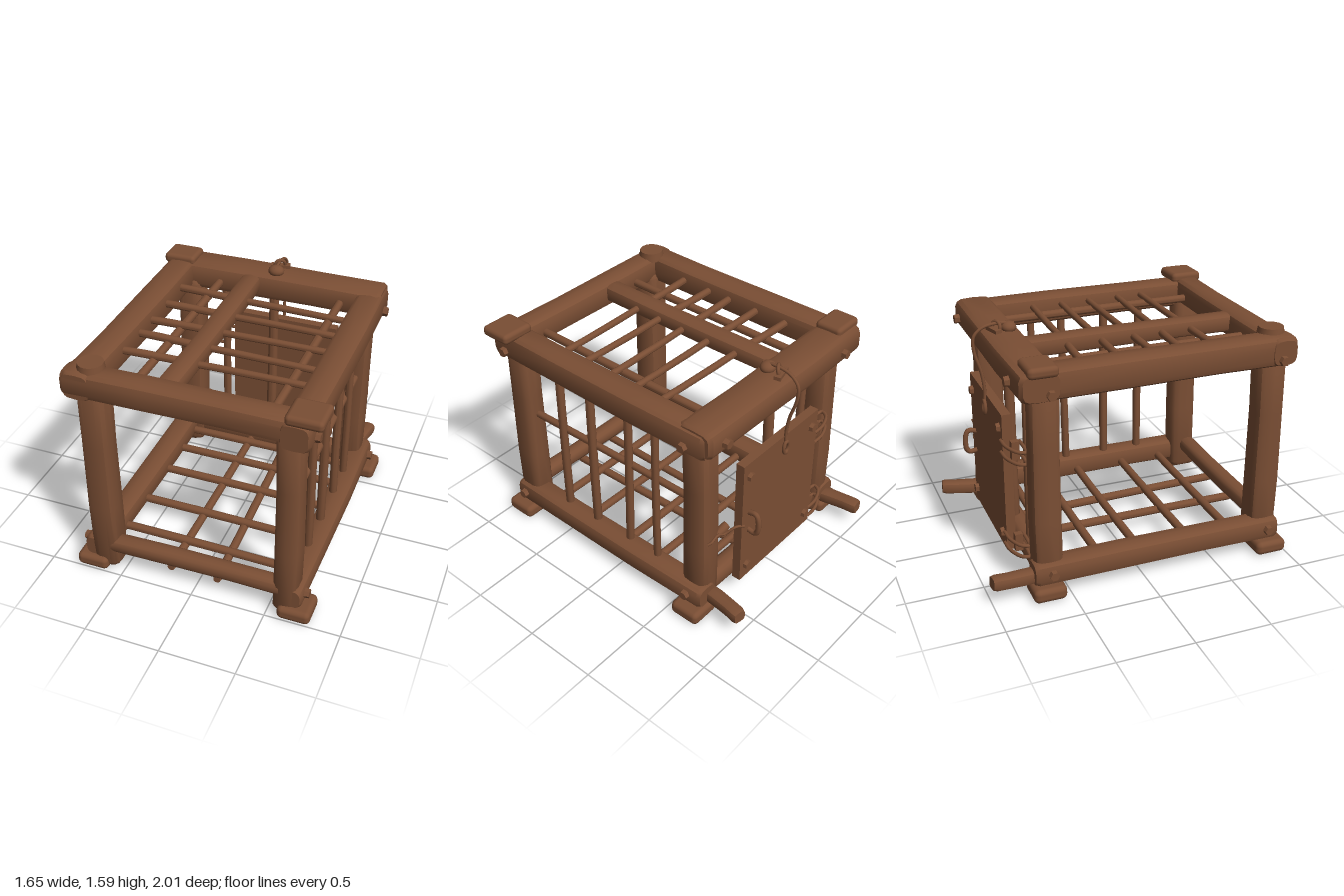
import * as THREE from 'three';
import { toCreasedNormals } from 'three/addons/utils/BufferGeometryUtils.js';
import { RoundedBoxGeometry } from 'three/addons/geometries/RoundedBoxGeometry.js';

export function createModel() {
  const root = new THREE.Group();
  root.name = 'cage';
  const wood = new THREE.MeshStandardMaterial({ color: 0x7a4e34 });
  wood.name = 'brownWood';
  const V = (p) => new THREE.Vector3(...p);

  function add(name, geo, pos = [0, 0, 0], rot = [0, 0, 0]) {
    const m = new THREE.Mesh(geo, wood);
    m.name = name;
    m.position.set(...pos);
    m.rotation.set(...rot);
    root.add(m);
    return m;
  }

  // Squarish log from a to b, with chamfered ends and a slight bow
  function log(name, a, b, w, h, square = 0.6, bow = 0.008) {
    const A = V(a), B = V(b), len = A.distanceTo(B), e = 0.025;
    const prof = [[0, 0], [0.86, 0], [1, e], [1.02, len * 0.35], [0.98, len * 0.7], [1, len - e], [0.86, len], [0, len]];
    const geo = new THREE.LatheGeometry(prof.map(([r, y]) => new THREE.Vector2(r, y - len / 2)), 14);
    const p = geo.attributes.position;
    for (let i = 0; i < p.count; i++) {
      const x = p.getX(i), z = p.getZ(i), r = Math.hypot(x, z);
      const k = (v) => (r ? Math.sign(v) * Math.pow(Math.abs(v / r), square) * r : 0);
      const bend = bow * Math.cos((p.getY(i) / len) * Math.PI);
      p.setX(i, k(x) * w / 2 + bend);
      p.setZ(i, k(z) * h / 2);
    }
    geo.rotateX(Math.PI / 2);
    const m = add(name, toCreasedNormals(geo, 0.6), A.clone().add(B).multiplyScalar(0.5).toArray());
    m.lookAt(B);
    return m;
  }

  // Thin round bar
  function bar(name, a, b, r = 0.026) {
    return log(name, a, b, r * 2, r * 2, 1, 0.004);
  }

  // Bent wire or rope through points
  function wire(name, pts, r = 0.012) {
    return add(name, new THREE.TubeGeometry(new THREE.CatmullRomCurve3(pts.map(V)), 32, r, 8));
  }

  // Hexagonal bolt head; axis 'x' or 'z'
  function bolt(pos, axis, r = 0.035, depth = 0.05) {
    const geo = toCreasedNormals(new THREE.CylinderGeometry(r * 0.85, r, depth, 6), 0.5);
    const s = Math.sign(pos[axis === 'x' ? 0 : 2]);
    add('bolt', geo, pos, axis === 'x' ? [0, 0, -s * Math.PI / 2] : [s * Math.PI / 2, 0, 0]);
  }

  // Corner posts
  log('frontPost', [-0.625, 0.03, 0.875], [-0.63, 1.4, 0.875], 0.19, 0.19);
  log('frontPost', [0.61, 0.04, 0.875], [0.61, 1.4, 0.875], 0.165, 0.19);
  log('backPost', [-0.64, 0.03, -0.62], [-0.63, 1.4, -0.62], 0.19, 0.18);
  log('backPost', [0.585, 0.04, -0.62], [0.6, 1.4, -0.62], 0.19, 0.18);

  // Upper frame
  log('topSideBeam', [-0.7, 1.43, -0.76], [-0.7, 1.43, 0.98], 0.2, 0.195, 0.5);
  log('topSideBeam', [0.655, 1.415, -0.76], [0.655, 1.415, 0.99], 0.19, 0.19, 0.5);
  log('topFrontBeam', [-0.8, 1.43, 0.895], [0.66, 1.435, 0.895], 0.185, 0.185);
  log('topBackBeam', [-0.8, 1.43, -0.675], [0.73, 1.43, -0.675], 0.26, 0.19, 0.5);
  log('topMiddleBeam', [-0.175, 1.45, -0.65], [-0.175, 1.45, 0.83], 0.14, 0.12);

  // Lower frame
  log('bottomSideBeam', [-0.685, 0.16, -0.73], [-0.685, 0.16, 0.96], 0.17, 0.16);
  log('bottomSideBeam', [0.645, 0.16, -0.73], [0.645, 0.16, 0.96], 0.17, 0.16);
  log('bottomFrontBeam', [-0.6, 0.2, 0.91], [0.6, 0.21, 0.91], 0.12, 0.115, 0.8);
  log('bottomBackBeam', [-0.65, 0.15, -0.63], [0.62, 0.15, -0.63], 0.14, 0.15, 0.8);

  // Feet and cap blocks
  for (const [x, z] of [[-0.71, 0.895], [0.685, 0.895], [-0.71, -0.65], [0.685, -0.65]])
    add('foot', new RoundedBoxGeometry(0.22, 0.095, 0.215, 2, 0.035), [x, 0.05, z]);
  add('capBlock', new RoundedBoxGeometry(0.23, 0.07, 0.22, 2, 0.028), [0.705, 1.527, 0.885]);
  add('capBlock', new RoundedBoxGeometry(0.225, 0.07, 0.19, 2, 0.028), [-0.71, 1.527, -0.665]);
  add('capDisc', toCreasedNormals(new THREE.CylinderGeometry(0.08, 0.09, 0.06, 18), 0.6), [-0.64, 1.53, 0.87]);

  // Pegs jutting out behind the bottom corners
  log('rearPeg', [0.59, 0.13, -0.66], [0.645, 0.15, -0.995], 0.1, 0.09);
  log('rearPeg', [-0.66, 0.13, -0.66], [-0.695, 0.15, -0.995], 0.1, 0.09);

  // Bolts on both sides and the back
  for (const s of [-1, 1]) {
    for (const z of [0.88, -0.62]) {
      bolt([s > 0 ? 0.755 : -0.805, 1.385, z], 'x');
      bolt([s > 0 ? 0.735 : -0.775, 0.17, z], 'x');
    }
  }
  bolt([-0.59, 1.42, -0.815], 'z');
  bolt([0.6, 1.42, -0.815], 'z');

  // Roof grid
  const roof = [[-0.34, -0.29], [-0.1, -0.085], [0.13, 0.115], [0.305, 0.335], [0.53, 0.51]];
  for (const [z0, z1] of roof) {
    bar('roofBar', [-0.62, 1.45, z0], [-0.17, 1.45, (z0 + z1) / 2], 0.025);
    bar('roofBar', [-0.17, 1.45, (z0 + z1) / 2], [0.62, 1.45, z1], 0.022);
  }
  for (const x of [-0.4, 0.46]) bar('roofLongBar', [x, 1.42, -0.62], [x, 1.42, 0.84], 0.027);

  // Floor grid
  for (const z of [-0.5, -0.26, 0.01, 0.365, 0.67])
    bar('floorBar', [-0.66, 0.14, z], [0.63, 0.14, z + 0.01], 0.028);
  bar('floorLongBar', [-0.17, 0.115, -0.65], [-0.17, 0.115, 0.92], 0.028);
  bar('floorLongBar', [0.1, 0.115, -0.65], [0.15, 0.115, 0.92], 0.028);

  // Barred side wall
  for (const [z0, z1, r] of [[0.52, 0.52, 0.028], [0.25, 0.25, 0.029], [-0.05, -0.075, 0.027], [-0.295, -0.295, 0.025]])
    bar('wallBar', [0.63, 0.18, z0], [0.63, 1.4, z1], r);
  bar('wallCrossBar', [0.61, 0.85, 0.85], [0.61, 0.872, -0.6], 0.024);

  // Bars at the back
  bar('backBar', [-0.39, 0.15, -0.65], [-0.39, 1.4, -0.65], 0.027);
  bar('backBar', [-0.04, 0.15, -0.65], [-0.03, 1.4, -0.65], 0.034);

  // Door panel with corner studs and handle
  add('door', new THREE.BoxGeometry(0.765, 0.95, 0.06), [0.02, 0.63, -0.77]);
  for (const x of [-0.3, 0.34])
    for (const y of [0.26, 1.0])
      bolt([x, y, -0.81], 'z', 0.033, 0.03);
  wire('doorHandle', [[0.33, 0.56, -0.79], [0.33, 0.555, -0.85], [0.33, 0.58, -0.87],
    [0.33, 0.68, -0.87], [0.33, 0.71, -0.85], [0.33, 0.7, -0.79]], 0.018);

  // Wire hinges tying the door to the post
  for (const y of [0.24, 0.89]) {
    add('hingePlate', new THREE.BoxGeometry(0.04, 0.12, 0.05), [-0.42, y, -0.74]);
    for (const d of [-0.04, 0.04])
      wire('hingeLoop', [[-0.34, y + d, -0.805], [-0.44, y + d, -0.8], [-0.54, y + d, -0.755],
        [-0.56, y + d, -0.71], [-0.5, y + d, -0.7], [-0.39, y + d, -0.7]], 0.012);
  }

  // Latch peg and its wire
  bar('latchPeg', [0.45, 0.635, -0.72], [0.54, 0.595, -0.7], 0.03);
  wire('latchWire', [[0.38, 0.62, -0.8], [0.44, 0.64, -0.78], [0.5, 0.6, -0.74],
    [0.55, 0.62, -0.73], [0.62, 0.61, -0.735], [0.67, 0.63, -0.74]], 0.009);

  // Rope from the roof knob down to the door
  add('ropeKnob', new THREE.SphereGeometry(0.055, 16, 10).scale(1, 0.7, 0.9), [-0.015, 1.54, -0.635]);
  add('ropeRing', new THREE.TorusGeometry(0.035, 0.012, 8, 18), [-0.015, 1.55, -0.715], [0.2, 0.5, 0]);
  add('ropePlate', new THREE.BoxGeometry(0.13, 0.03, 0.045), [-0.015, 1.53, -0.73], [0, 0.25, 0]);
  wire('rope', [[-0.015, 1.56, -0.6], [-0.015, 1.572, -0.7], [-0.015, 1.555, -0.8], [-0.012, 1.5, -0.86],
    [-0.01, 1.4, -0.862], [-0.008, 1.25, -0.82], [-0.005, 1.12, -0.805], [-0.005, 1.05, -0.81]], 0.011);
  add('ropeEyelet', new THREE.TorusGeometry(0.03, 0.012, 8, 18).scale(0.8, 1.4, 1), [-0.005, 1.02, -0.812]);

  return root;
}
